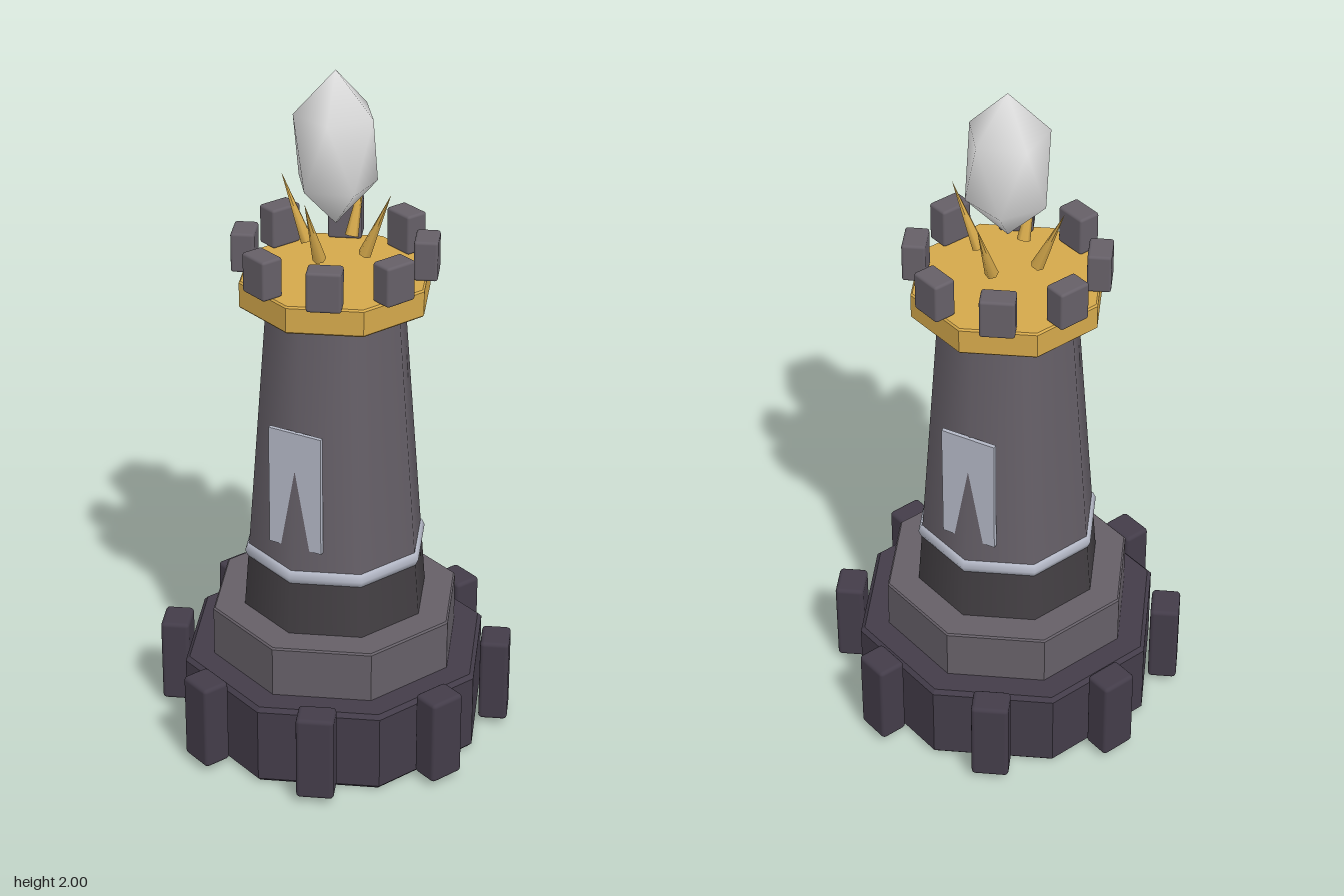
import * as THREE from 'three';
import { toCreasedNormals } from 'three/addons/utils/BufferGeometryUtils.js';
import { RoundedBoxGeometry } from 'three/addons/geometries/RoundedBoxGeometry.js';

const mat = (name, color) => {
  const m = new THREE.MeshStandardMaterial({ color });
  m.name = name;
  return m;
};

export function createModel() {
  const group = new THREE.Group();
  const darkStone = mat('dark stone', 0x433c49);
  const stone = mat('grey stone', 0x655f67);
  const shadowStone = mat('deep grey stone', 0x433f43);
  const gold = mat('gold', 0xd4a84b);
  const silver = mat('silver', 0xb4b8c6);
  const crystalWhite = mat('crystal white', 0xe2e2e2);

  const add = (name, geometry, material, parent = group) => {
    const mesh = new THREE.Mesh(geometry, material);
    mesh.name = name;
    parent.add(mesh);
    return mesh;
  };

  // Closed eight-sided prism with chamfered rims and crisp edges
  const octagon = (r, y0, y1, bevel) => {
    const pts = [[0, y0], [r - bevel, y0], [r, y0 + bevel], [r, y1 - bevel], [r - bevel, y1], [0, y1]];
    const lathe = new THREE.LatheGeometry(pts.map(([x, y]) => new THREE.Vector2(x, y)), 8);
    return toCreasedNormals(lathe, 0.4);
  };

  // Ring of eight rounded blocks facing outward between the octagon corners
  const blockRing = (name, [w, h, d], radius, y, bevel, material) => {
    const ring = new THREE.Group();
    ring.name = name + 'Ring';
    const geometry = new RoundedBoxGeometry(w, h, d, 2, bevel);
    for (let i = 0; i < 8; i++) {
      const a = (i + 0.5) * Math.PI / 4;
      const block = add(name, geometry, material, ring);
      block.position.set(Math.sin(a) * radius, y, Math.cos(a) * radius);
      block.rotation.y = a;
    }
    group.add(ring);
  };

  // Foundation
  add('base', octagon(0.452, 0, 0.247, 0.012), darkStone);
  blockRing('buttress', [0.107, 0.26, 0.084], 0.47, 0.15, 0.012, darkStone);
  add('plinth', octagon(0.366, 0.24, 0.4, 0.005), stone);

  // Tapering shaft, smooth shaded, with a darker foot below the band
  const shaftRadius = (y) => 0.272 - 0.0777 * (y - 0.4);
  const shaftPart = (name, y0, y1, material) => {
    const geometry = new THREE.CylinderGeometry(shaftRadius(y1), shaftRadius(y0), y1 - y0, 8, 1, true);
    add(name, geometry, material).position.y = (y0 + y1) / 2;
  };
  shaftPart('shaftFoot', 0.39, 0.575, shadowStone);
  shaftPart('shaft', 0.575, 1.36, stone);

  // Silver band
  const band = add('band', new THREE.TorusGeometry(0.243, 0.026, 8, 8), silver);
  band.rotation.x = Math.PI / 2;
  band.position.y = 0.577;

  // Banners front and back; the shaft corner pokes through their lower middle
  for (const s of [1, -1]) {
    add('banner', new THREE.BoxGeometry(0.165, 0.36, 0.012), silver).position.set(0, 0.84, s * 0.227);
  }

  // Crown platform and battlements
  add('crownPlatform', octagon(0.274, 1.34, 1.42, 0.005), gold);
  blockRing('merlon', [0.096, 0.115, 0.066], 0.251, 1.477, 0.008, stone);

  // Four claws leaning outward beneath the crystal
  const clawGeometry = new THREE.ConeGeometry(0.019, 0.205, 6);
  for (let i = 0; i < 4; i++) {
    const pivot = new THREE.Group();
    pivot.name = 'clawPivot';
    pivot.rotation.y = i * Math.PI / 2;
    const claw = add('claw', clawGeometry, gold, pivot);
    claw.position.set(0, 1.582, 0.13);
    claw.rotation.x = 0.4;
    group.add(pivot);
  }

  // Crystal: two opposed five-sided rings between a top and a bottom point
  const verts = [0, 2, 0, 0, 1.56, 0];
  const faces = [];
  for (let i = 0; i < 5; i++) {
    const a = i * Math.PI * 0.4, b = a + Math.PI / 5, r = 0.115;
    verts.push(Math.cos(a) * r, 1.88, Math.sin(a) * r, Math.cos(b) * r, 1.68, Math.sin(b) * r);
    const u = 2 + i * 2, l = u + 1, u2 = 2 + ((i + 1) % 5) * 2, l2 = u2 + 1;
    faces.push(0, u2, u, u, u2, l, l, u2, l2, 1, l, l2);
  }
  const crystal = new THREE.BufferGeometry();
  crystal.setAttribute('position', new THREE.Float32BufferAttribute(verts, 3));
  crystal.setIndex(faces);
  crystal.computeVertexNormals();
  add('crystal', crystal, crystalWhite);

  return group;
}
